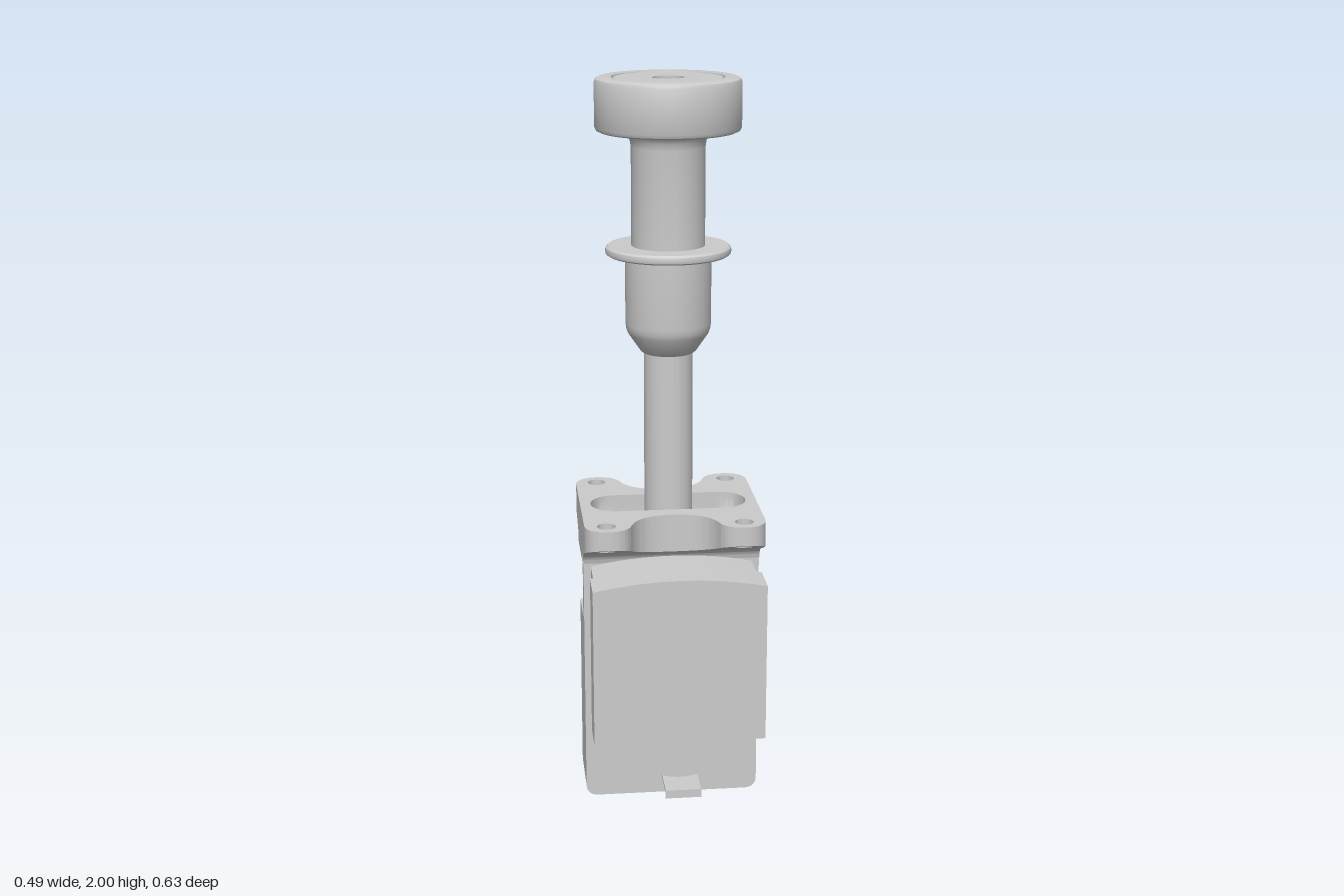
import * as THREE from 'three';
import { toCreasedNormals } from 'three/addons/utils/BufferGeometryUtils.js';

const mat = new THREE.MeshStandardMaterial({ color: 0xcccccc });
const matDouble = new THREE.MeshStandardMaterial({ color: 0xcccccc, side: THREE.DoubleSide });

function add(parent, name, geo, material = mat) {
  const mesh = new THREE.Mesh(toCreasedNormals(geo, 0.6), material);
  mesh.name = name;
  parent.add(mesh);
  return mesh;
}

// Front outline (x, y) extruded between two z positions
function slab(shape, z0, z1) {
  return new THREE.ExtrudeGeometry(shape, { depth: z1 - z0, bevelEnabled: false, curveSegments: 24 }).translate(0, 0, z0);
}

// Plan outline (x, z) extruded downward from yTop
function plan(shape, yTop, depth) {
  return new THREE.ExtrudeGeometry(shape, { depth, bevelEnabled: false, curveSegments: 24 })
    .rotateX(Math.PI / 2).translate(0, yTop, 0);
}

// Housing outline, optionally with a rounded notch in each side
function bodyShape(notched) {
  const s = new THREE.Shape();
  const w = 0.242, r = 0.035, d = 0.172;
  s.moveTo(-w + r, 0).lineTo(w - r, 0);
  s.quadraticCurveTo(w, 0, w, r);
  if (notched) {
    s.lineTo(w, 0.53).lineTo(d + 0.03, 0.53);
    s.quadraticCurveTo(d, 0.53, d, 0.56).lineTo(d, 0.635);
    s.quadraticCurveTo(d, 0.685, w, 0.69);
  }
  s.lineTo(w, 0.72).lineTo(-w, 0.72);
  if (notched) {
    s.lineTo(-w, 0.69).quadraticCurveTo(-d, 0.685, -d, 0.635);
    s.lineTo(-d, 0.56).quadraticCurveTo(-d, 0.53, -d - 0.03, 0.53);
    s.lineTo(-w, 0.53);
  }
  s.lineTo(-w, r).quadraticCurveTo(-w, 0, -w + r, 0);
  return s;
}

// Front box outline: crowned top, round belly below
function boxShape(w, side, crown, inset) {
  const s = new THREE.Shape();
  s.moveTo(-w, 0.26 + inset).lineTo(-0.16, 0.26 + inset);
  s.quadraticCurveTo(-0.095, 0.157, 0, 0.157);
  s.quadraticCurveTo(0.095, 0.157, 0.16, 0.26 + inset);
  s.lineTo(w, 0.26 + inset).lineTo(w, side);
  s.quadraticCurveTo(0, 2 * crown - side, -w, side);
  return s;
}

// Slot outline with round ends
function slot(PathType, half, r, zc) {
  const s = new PathType();
  s.moveTo(-half, zc - r).lineTo(half, zc - r);
  s.absarc(half, zc, r, -Math.PI / 2, Math.PI / 2, false);
  s.lineTo(-half, zc + r);
  s.absarc(-half, zc, r, Math.PI / 2, Math.PI * 1.5, false);
  return s;
}

// Pair of lobes with a scallop between them, sloped underneath
function lobes() {
  const s = new THREE.Shape();
  s.moveTo(-0.244, 0.015).lineTo(0.244, 0.015).lineTo(0.244, 0.105);
  s.bezierCurveTo(0.244, 0.14, 0.22, 0.166, 0.185, 0.166);
  s.bezierCurveTo(0.15, 0.166, 0.13, 0.15, 0.12, 0.125);
  s.bezierCurveTo(0.105, 0.07, 0.07, 0.04, 0, 0.04);
  s.bezierCurveTo(-0.07, 0.04, -0.105, 0.07, -0.12, 0.125);
  s.bezierCurveTo(-0.13, 0.15, -0.15, 0.166, -0.185, 0.166);
  s.bezierCurveTo(-0.22, 0.166, -0.244, 0.14, -0.244, 0.105);
  for (const x of [-0.185, 0.185]) {
    s.holes.push(new THREE.Path().absarc(x, 0.118, 0.025, 0, Math.PI * 2, true));
  }
  const geo = plan(s, 0.84, 0.1);
  const p = geo.attributes.position;
  for (let i = 0; i < p.count; i++) {
    if (p.getY(i) < 0.8) p.setY(i, 0.724 + (p.getZ(i) - 0.015) * 0.42);
  }
  return geo;
}

// Recess walls: rings of the slot outline shrinking downward, closed by a floor
function recess() {
  const rings = [[0.145, 0.07, 0.84], [0.145, 0.07, 0.80], [0.075, 0.068, 0.73]];
  const pts = rings.map(([h, r, y]) => slot(THREE.Shape, h, r, -0.075).getPoints(16)
    .map(q => new THREE.Vector3(q.x, y, q.y)));
  const n = pts[0].length;
  pts.push(Array.from({ length: n }, () => new THREE.Vector3(0, 0.73, -0.075)));
  const idx = [];
  for (let k = 0; k < 3; k++) {
    for (let i = 0; i < n; i++) {
      const a = k * n + i, b = k * n + (i + 1) % n;
      idx.push(a, b, a + n, b, b + n, a + n);
    }
  }
  const geo = new THREE.BufferGeometry().setFromPoints(pts.flat());
  geo.setIndex(idx);
  geo.computeVertexNormals();
  return geo;
}

function lathe(points) {
  return new THREE.LatheGeometry(points.map(([r, y]) => new THREE.Vector2(r, y)), 64);
}

export function createModel() {
  const model = new THREE.Group();
  model.name = 'plungerAssembly';

  // Housing: full front wall, notched rear
  const housing = new THREE.Group();
  housing.name = 'housing';
  model.add(housing);
  add(housing, 'housingFront', slab(bodyShape(false), -0.025, 0.015));
  add(housing, 'housingRear', slab(bodyShape(true), -0.16, -0.025));

  // Front box in two steps, with a latch tab below
  add(model, 'frontBoxBase', slab(boxShape(0.222, 0.69, 0.715, 0.012), 0.01, 0.135));
  add(model, 'frontBoxCover', slab(boxShape(0.232, 0.70, 0.724, 0), 0.135, 0.24));
  const tab = new THREE.Shape();
  tab.moveTo(-0.16, 0.16).lineTo(-0.16, 0.149).lineTo(-0.31, 0.149).lineTo(-0.31, 0.134)
    .lineTo(-0.318, 0.134).lineTo(-0.318, 0.157).lineTo(-0.19, 0.157);
  add(model, 'latchTab', slab(tab, -0.048, 0.048).rotateY(Math.PI / 2));

  // Mounting flange: slotted centre, lobes and fillets front and back
  const flange = new THREE.Group();
  flange.name = 'flange';
  model.add(flange);
  const centre = new THREE.Shape();
  centre.moveTo(-0.244, -0.165).lineTo(0.244, -0.165).lineTo(0.244, 0.015).lineTo(-0.244, 0.015);
  centre.holes.push(slot(THREE.Path, 0.145, 0.07, -0.075));
  add(flange, 'flangeCentre', plan(centre, 0.84, 0.14));
  add(flange, 'flangeRecess', recess(), matDouble);

  const fillet = new THREE.Shape();
  fillet.moveTo(-0.014, 0.735).lineTo(-0.014, 0.69);
  fillet.quadraticCurveTo(-0.016, 0.722, -0.04, 0.735);
  for (const back of [false, true]) {
    const half = new THREE.Group();
    half.name = back ? 'backLobes' : 'frontLobes';
    add(half, 'lobes', lobes());
    add(half, 'lobeFillet', slab(fillet, -0.243, 0.243).rotateY(Math.PI / 2), matDouble);
    if (back) {
      half.rotation.y = Math.PI;
      half.position.z = -0.15;
    }
    flange.add(half);
  }

  // Plunger turned about one axis
  const plunger = new THREE.Group();
  plunger.name = 'plunger';
  plunger.position.z = -0.07;
  model.add(plunger);
  add(plunger, 'shaft', lathe([[0, 0.72], [0.066, 0.72], [0.066, 1.28], [0, 1.28]]));
  add(plunger, 'sleeve', lathe([
    [0, 1.27], [0.07, 1.27], [0.076, 1.275], [0.108, 1.322], [0.113, 1.335], [0.115, 1.35], [0.115, 1.54], [0, 1.54],
  ]));
  add(plunger, 'collar', lathe([
    [0, 1.535], [0.16, 1.535], [0.166, 1.539], [0.168, 1.547], [0.166, 1.555], [0.16, 1.56], [0, 1.56],
  ]));
  add(plunger, 'neck', lathe([
    [0.098, 1.55], [0.098, 1.82], [0.101, 1.838], [0.109, 1.851], [0.12, 1.859], [0.135, 1.862], [0, 1.862],
  ]));
  add(plunger, 'knob', lathe([
    [0, 1.86], [0.18, 1.86], [0.189, 1.864], [0.193, 1.873], [0.193, 1.987], [0.189, 1.996], [0.18, 2],
    [0.149, 2], [0.147, 1.992], [0.144, 1.992], [0.142, 1.998], [0.042, 1.998], [0.042, 1.985], [0, 1.96],
  ]));
  return model;
}
